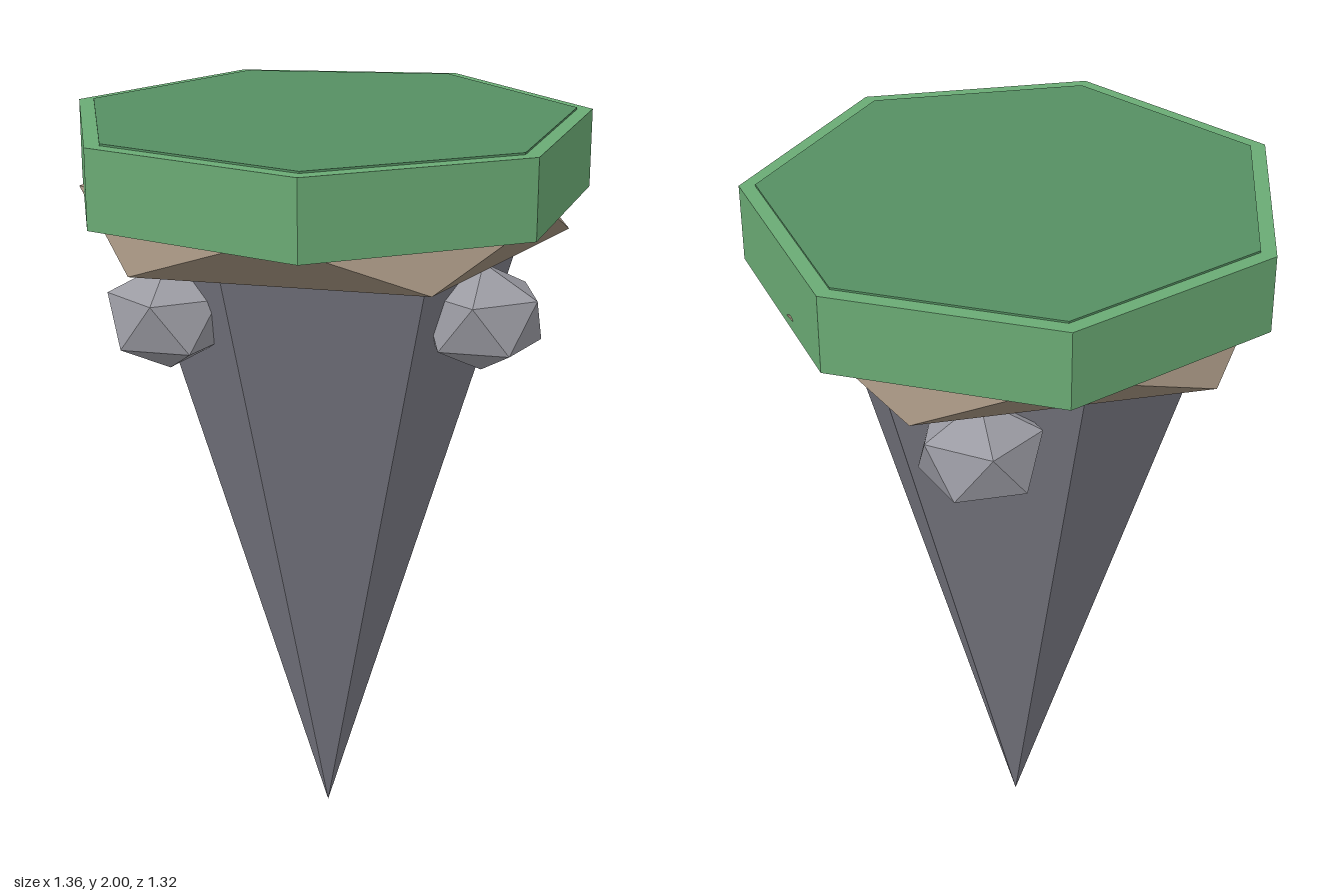
import * as THREE from 'three';

const CZ = 0.034; // depth offset of the central axis

function mat(color) {
  return new THREE.MeshStandardMaterial({ color, flatShading: true });
}

function add(group, name, geometry, material, x, y, z) {
  const mesh = new THREE.Mesh(geometry, material);
  mesh.name = name;
  mesh.position.set(x, y, z);
  group.add(mesh);
  return mesh;
}

// Flattened icosahedron standing on one of its points
function rockGeometry(radius, squash) {
  const g = new THREE.IcosahedronGeometry(radius, 0);
  g.rotateZ(-Math.atan(2 / (1 + Math.sqrt(5))));
  g.scale(1, squash, 1);
  return g;
}

// Seven-sided slab with one corner at the back
function slabGeometry(radius, height) {
  const g = new THREE.CylinderGeometry(radius, radius, height, 7);
  g.rotateY(Math.PI);
  return g;
}

export function createModel() {
  const island = new THREE.Group();
  island.name = 'floatingIsland';

  // Grass slab and its darker inset top
  add(island, 'grassSlab', slabGeometry(0.697, 0.205), mat(0x6aaa74), 0, 1.8925, CZ);
  add(island, 'grassTop', slabGeometry(0.655, 0.03), mat(0x558f62), 0, 1.985, CZ);

  // Faceted soil layer
  add(island, 'soil', rockGeometry(0.716, 0.22), mat(0x9a8a78), 0, 1.755, CZ);

  // Six-sided stone spike pointing down
  const spikeTop = 1.72;
  const spike = new THREE.ConeGeometry(0.3 * spikeTop, spikeTop, 6);
  spike.rotateX(Math.PI);
  add(island, 'spike', spike, mat(0x7a7a84), 0, spikeTop / 2, CZ);

  // Three boulders set around the spike
  const boulder = rockGeometry(0.172, 0.82);
  const stone = mat(0x9a9aa2);
  for (let i = 0; i < 3; i++) {
    const a = (i * Math.PI * 2) / 3;
    add(island, 'boulder' + (i + 1), boulder, stone, 0.46 * Math.cos(a), 1.53, CZ + 0.46 * Math.sin(a));
  }
  return island;
}
